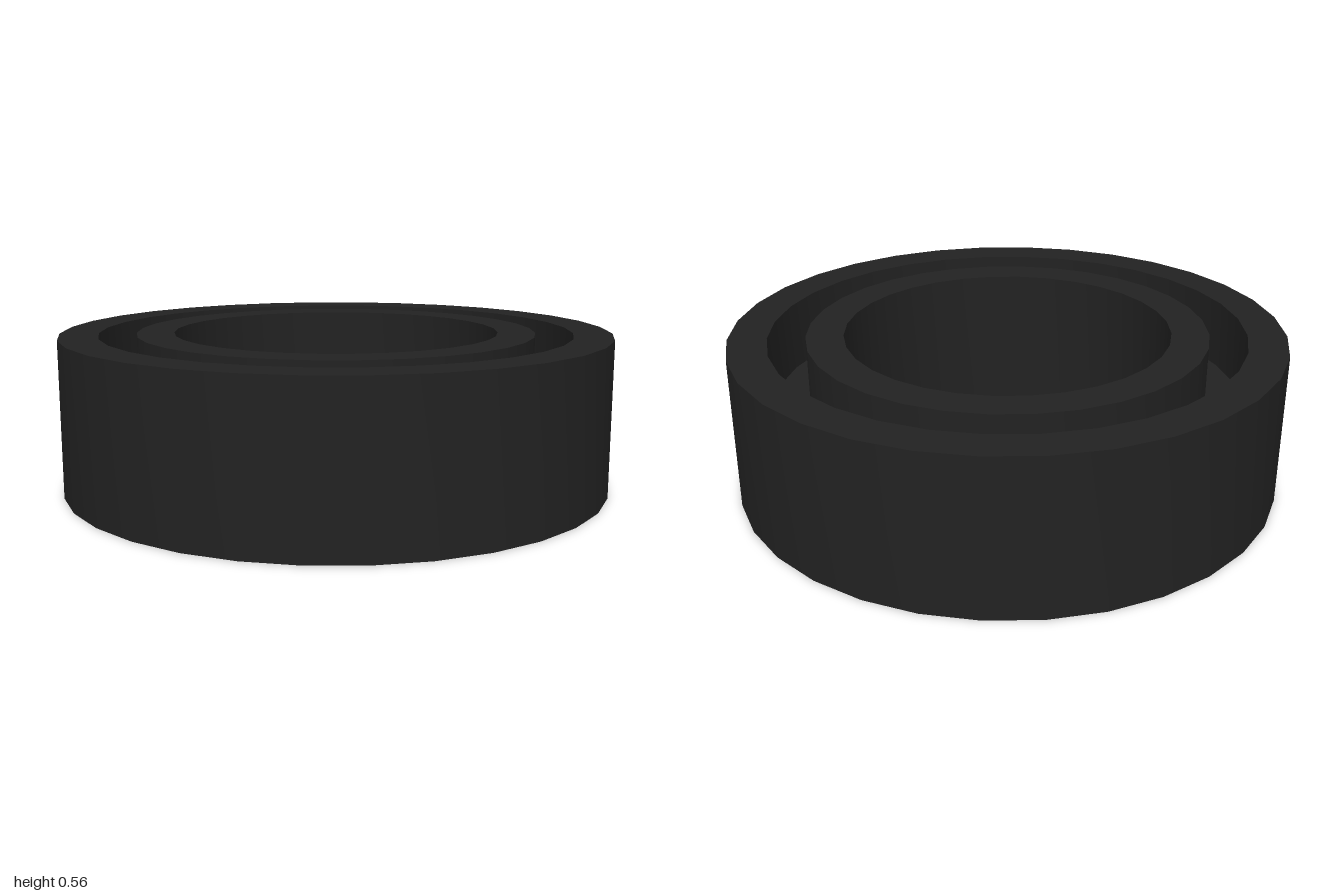
import * as THREE from 'three';
import { toCreasedNormals } from 'three/addons/utils/BufferGeometryUtils.js';

const SEGMENTS = 32;
const HEIGHT = 0.56;

// Closed ring with a rectangular section and sharp rims
function ring(name, inner, outer, bottom, top, material) {
  const section = [
    [outer, bottom], [outer, top], [inner, top], [inner, bottom], [outer, bottom],
  ].map(([r, y]) => new THREE.Vector2(r, y));
  const geometry = toCreasedNormals(new THREE.LatheGeometry(section, SEGMENTS), 0.6);
  const mesh = new THREE.Mesh(geometry, material);
  mesh.name = name;
  return mesh;
}

export function createModel() {
  const group = new THREE.Group();
  group.name = 'bearing';
  const material = new THREE.MeshStandardMaterial({ color: 0x222222 });

  // Two concentric races
  group.add(ring('outerRace', 0.86, 1, 0, HEIGHT, material));
  group.add(ring('innerRace', 0.59, 0.725, 0, HEIGHT, material));

  // Thin web joining the races at mid height, leaving a groove on both faces
  group.add(ring('web', 0.72, 0.865, HEIGHT / 2 - 0.025, HEIGHT / 2 + 0.025, material));

  return group;
}
